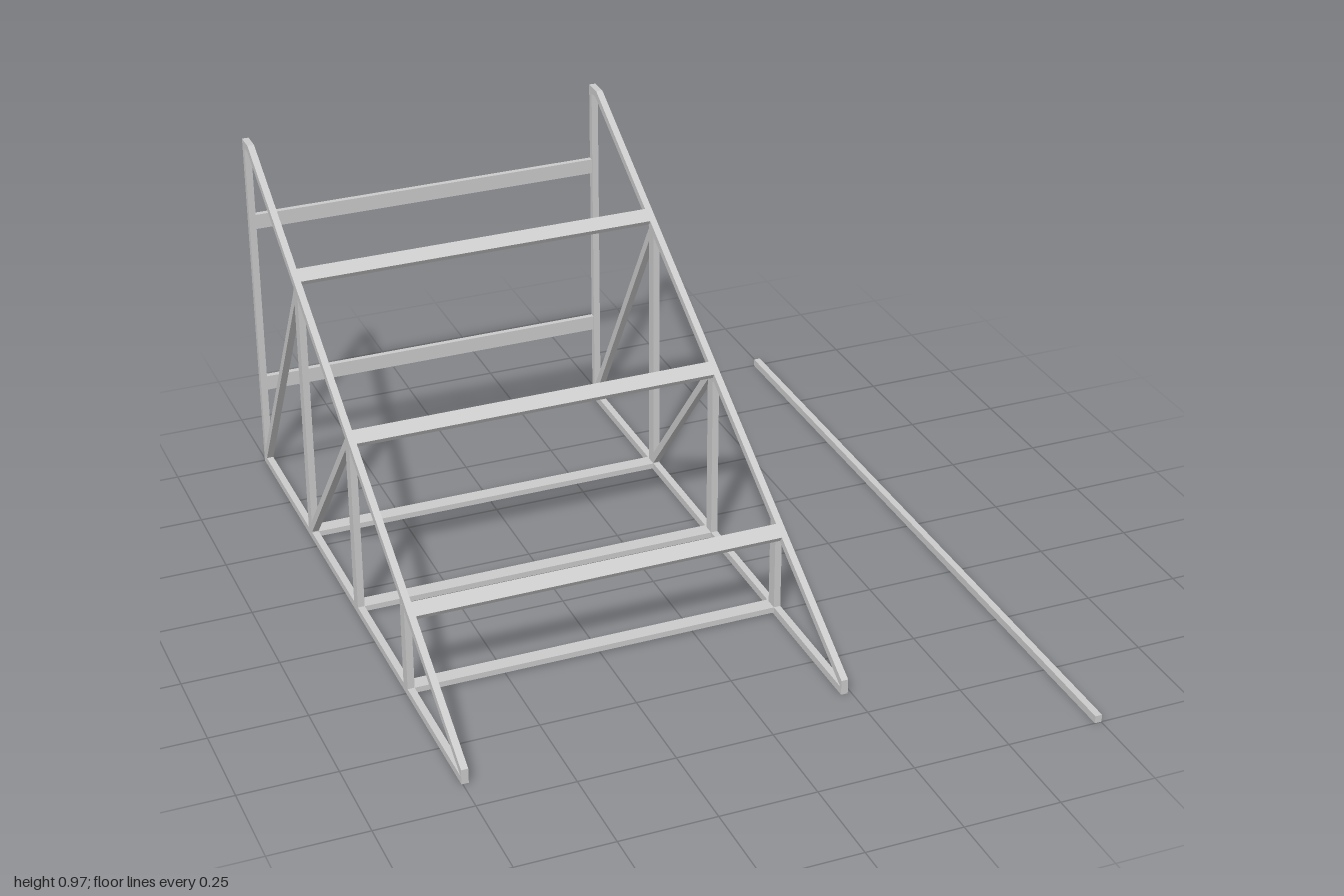
import * as THREE from 'three';

const RAIL = 0.018;               // thickness of the frame bars across x
const LEFT = 0.232, RIGHT = -0.744;
const SLOPE = Math.PI / 6;
const FRONT = 0.658, BACK = -1;

const material = new THREE.MeshStandardMaterial({ color: 0xcccccc });

// Height of the sloped rail's upper face at depth z
const slopeY = (z) => 0.04 + (FRONT - z) * Math.tan(SLOPE);

// Flat part drawn in the side plane as [z, y] corners, given thickness across x
function sidePart(name, points, x) {
  const shape = new THREE.Shape(points.map(([z, y]) => new THREE.Vector2(z, y)));
  const geometry = new THREE.ExtrudeGeometry(shape, { depth: RAIL, bevelEnabled: false });
  geometry.translate(0, 0, -RAIL / 2).rotateY(-Math.PI / 2);
  const mesh = new THREE.Mesh(geometry, material);
  mesh.name = name;
  mesh.position.x = x;
  return mesh;
}

// Box given by its centre
function box(name, w, h, d, x, y, z) {
  const mesh = new THREE.Mesh(new THREE.BoxGeometry(w, h, d), material);
  mesh.name = name;
  mesh.position.set(x, y, z);
  return mesh;
}

// Straight brace between two [z, y] points in the side plane
function brace(x, [z0, y0], [z1, y1]) {
  const length = Math.hypot(z1 - z0, y1 - y0);
  const mesh = box('diagonalBrace', RAIL, 0.02, length, x, (y0 + y1) / 2, (z0 + z1) / 2);
  mesh.rotation.x = -Math.atan2(y1 - y0, z1 - z0);
  return mesh;
}

const postDepths = [0.246, -0.155, -0.556];

function sideFrame(name, x) {
  const frame = new THREE.Group();
  frame.name = name;
  const drop = 0.023, top = 0.967;
  const cornerZ = FRONT - (top - 0.04) / Math.tan(SLOPE);

  // Ground rail, back post and sloped rail with its level top end
  frame.add(box('groundRail', RAIL, 0.02, FRONT - BACK, x, 0.01, (FRONT + BACK) / 2));
  frame.add(box('backPost', RAIL, top - 0.04, 0.018, x, 0.02 + (top - 0.04) / 2, BACK + 0.009));
  frame.add(sidePart('slopedRail', [
    [FRONT, 0.017], [FRONT, 0.04], [cornerZ, top], [BACK, top],
    [BACK, top - 0.02], [cornerZ - 0.005, top - 0.02],
  ], x));

  // Uprights cut to the slope
  for (const z of postDepths) {
    const a = z - 0.016, b = z + 0.016;
    frame.add(sidePart('upright', [
      [a, 0.02], [b, 0.02], [b, slopeY(b) - drop], [a, slopeY(a) - drop],
    ], x));
  }

  // Diagonal braces in the two tall bays
  frame.add(brace(x, [-0.168, 0.482], [-0.55, 0.026]));
  frame.add(brace(x, [-0.566, 0.71], [-0.982, 0.026]));
  return frame;
}

export function createModel() {
  const model = new THREE.Group();
  model.name = 'slopedRack';
  model.add(sideFrame('leftFrame', LEFT), sideFrame('rightFrame', RIGHT));

  const span = LEFT - RIGHT - RAIL, midX = (LEFT + RIGHT) / 2;

  // Tilted slats flush with the sloped rails
  for (const z of [0.282, -0.149, -0.58]) {
    const t = 0.015;
    const slat = box('tiltedSlat', span, t, 0.041, midX,
      slopeY(z) - (t / 2) * Math.cos(SLOPE), z - (t / 2) * Math.sin(SLOPE));
    slat.rotation.x = SLOPE;
    model.add(slat);
  }

  // Flat ground ties beside each pair of uprights
  for (const z of postDepths) model.add(box('groundTie', span, 0.015, 0.041, midX, 0.0125, z - 0.004));

  // Upright rails across the back
  for (const y of [0.246, 0.73]) model.add(box('backRail', span, 0.041, 0.015, midX, y, BACK + 0.0075));

  // Separate loose bar lying alongside
  model.add(box('looseBar', RAIL, 0.02, 2, 0.742, 0.01, 0));
  return model;
}
